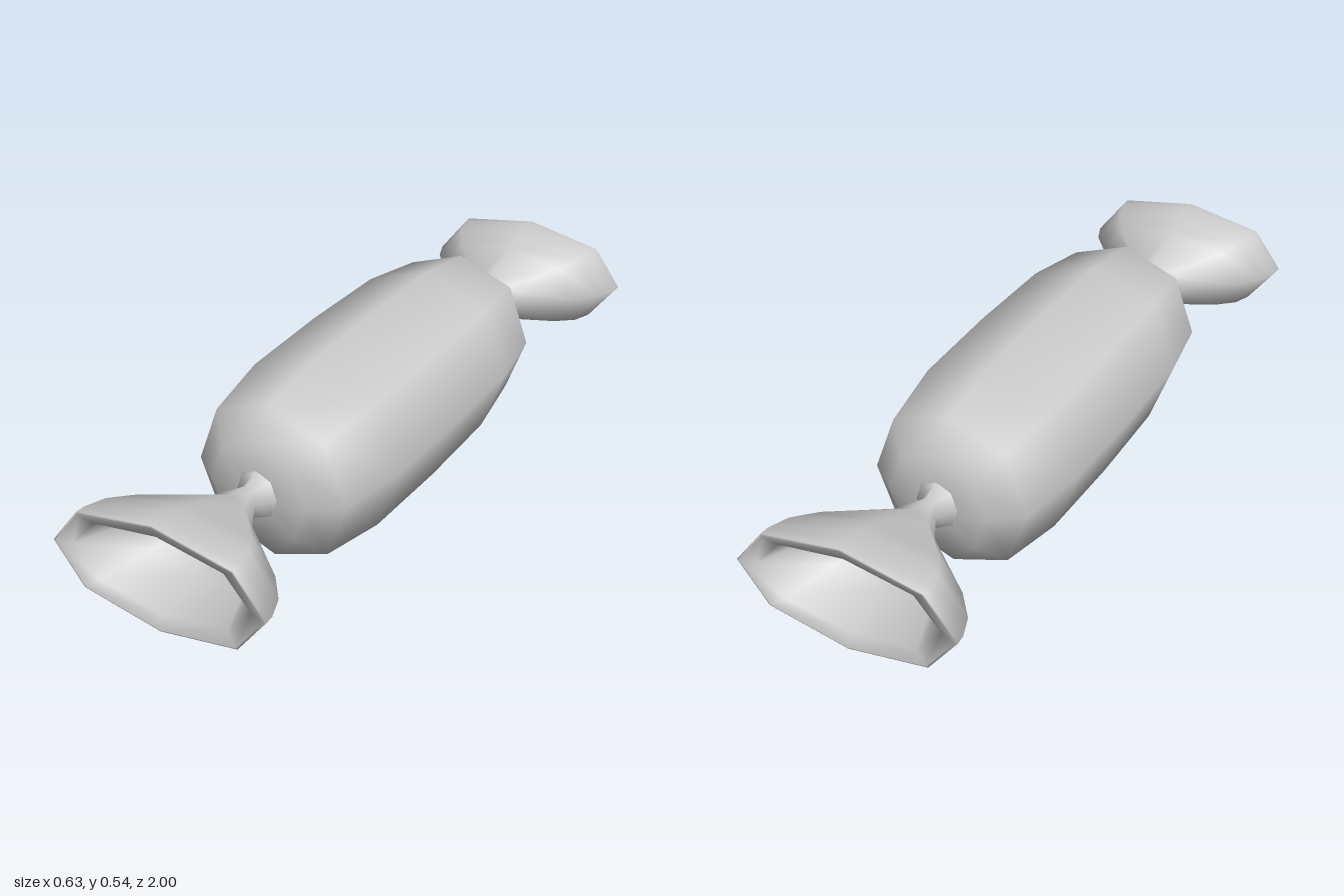
import * as THREE from 'three';

const SIDES = 8;
const CENTRE_Y = 0.272;

// Skin octagonal rings [z, half width, half height] into a smooth surface;
// the diagonal corners bulge slightly beyond a true ellipse.
function loft(rings) {
  const pos = [], index = [];
  for (const [z, rx, ry] of rings) {
    for (let j = 0; j < SIDES; j++) {
      const a = (j / SIDES) * Math.PI * 2;
      const bulge = j % 2 ? 1.03 : 1;
      pos.push(Math.cos(a) * rx * bulge, Math.sin(a) * ry * bulge, z);
    }
  }
  for (let i = 0; i < rings.length - 1; i++) {
    for (let j = 0; j < SIDES; j++) {
      const k = (j + 1) % SIDES;
      const a = i * SIDES + j, b = i * SIDES + k;
      index.push(a, b, b + SIDES, a, b + SIDES, a + SIDES);
    }
  }
  const geo = new THREE.BufferGeometry();
  geo.setAttribute('position', new THREE.Float32BufferAttribute(pos, 3));
  geo.setIndex(index);
  geo.computeVertexNormals();
  return geo;
}

export function createModel() {
  const group = new THREE.Group();
  group.name = 'wrappedSweet';
  const material = new THREE.MeshStandardMaterial({ color: 0xcccccc });

  // Plump body, mirrored front to back
  const half = [[0.3, 0.265, 0.265], [0.51, 0.23, 0.232], [0.575, 0.145, 0.145], [0.58, 0.04, 0.05]];
  const back = half.map(([z, x, y]) => [-z, x, y]).reverse();
  const body = new THREE.Mesh(loft([...back, [0, 0.27, 0.271], ...half]), material);
  body.name = 'body';
  body.position.y = CENTRE_Y;
  group.add(body);

  // Twisted wrapper end: pinched neck, flared fan, rolled rim and hollow inside
  const twist = loft([
    [0.565, 0.075, 0.08], [0.585, 0.055, 0.068], [0.625, 0.025, 0.053], [0.7, 0.07, 0.07],
    [0.84, 0.235, 0.127], [0.91, 0.292, 0.148], [0.97, 0.315, 0.155], [0.998, 0.317, 0.156],
    [1.0, 0.31, 0.151], [0.985, 0.265, 0.117], [0.84, 0.2, 0.088], [0.73, 0.07, 0.045], [0.69, 0.001, 0.001],
  ]);
  for (const [name, turn] of [['frontTwist', 0], ['backTwist', Math.PI]]) {
    const mesh = new THREE.Mesh(twist, material);
    mesh.name = name;
    mesh.position.y = CENTRE_Y;
    mesh.rotation.y = turn;
    group.add(mesh);
  }
  return group;
}
